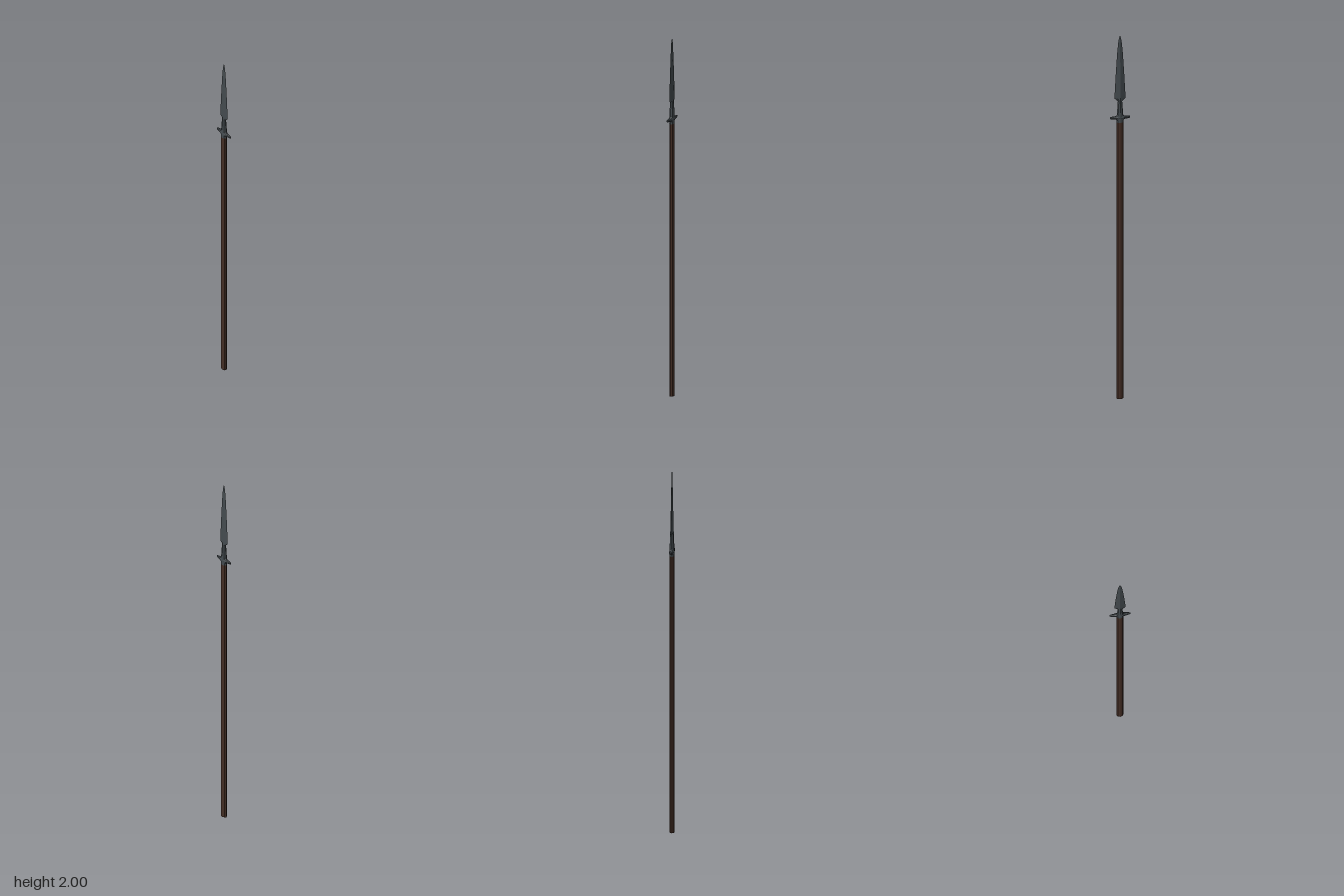
import * as THREE from 'three';

// Flat-shaded loft along y through eight-sided rings [y, halfX, halfZ, k].
// k = 0.5 gives a diamond section, k = 0.71 an ellipse.
function loft(rings) {
  const pos = [], idx = [];
  for (const [y, hx, hz, k] of rings) {
    for (let i = 0; i < 8; i++) {
      const a = (i * Math.PI) / 4;
      const s = i % 2 ? k / Math.SQRT1_2 : 1;
      pos.push(Math.cos(a) * hx * s, y, Math.sin(a) * hz * s);
    }
  }
  for (let j = 0; j < rings.length - 1; j++) {
    for (let i = 0; i < 8; i++) {
      const a = j * 8 + i, b = j * 8 + ((i + 1) % 8);
      idx.push(a, a + 8, b, b, a + 8, b + 8);
    }
  }
  const g = new THREE.BufferGeometry();
  g.setAttribute('position', new THREE.Float32BufferAttribute(pos, 3));
  g.setIndex(idx);
  const flat = g.toNonIndexed();
  flat.computeVertexNormals();
  return flat;
}

export function createModel() {
  const group = new THREE.Group();
  const wood = new THREE.MeshStandardMaterial({ color: 0x442e25, flatShading: true });
  const metal = new THREE.MeshStandardMaterial({ color: 0x444b4f, flatShading: true });
  wood.name = 'darkWood';
  metal.name = 'darkSteel';

  const add = (name, geometry, material) => {
    const mesh = new THREE.Mesh(geometry, material);
    mesh.name = name;
    group.add(mesh);
    return mesh;
  };

  // Oval wooden pole with a closed foot
  add('shaft', loft([
    [0, 0, 0, 0.71], [0, 0.0128, 0.0185, 0.71],
    [1.54, 0.0128, 0.0185, 0.71], [1.54, 0, 0, 0.71],
  ]), wood);

  // Socket narrowing up to the neck
  add('socket', loft([
    [1.52, 0, 0, 0.71], [1.52, 0.0132, 0.0188, 0.71],
    [1.57, 0.0128, 0.0175, 0.71], [1.61, 0.0115, 0.0135, 0.71],
    [1.655, 0.0095, 0.011, 0.68], [1.67, 0, 0, 0.71],
  ]), metal);

  // Long leaf blade with a diamond section
  add('blade', loft([
    [1.635, 0.0095, 0.011, 0.6], [1.652, 0.0092, 0.03, 0.5],
    [1.665, 0.009, 0.03, 0.5], [1.78, 0.0065, 0.0235, 0.5],
    [1.9, 0.004, 0.0155, 0.5], [1.97, 0.0022, 0.0085, 0.5], [2, 0, 0, 0.5],
  ]), metal);

  // Cross lugs, lofted from end to end along z
  const half = [[0.055, 0, 0], [0.055, 0.0035, 0.005], [0.05, 0.006, 0.0065],
    [0.022, 0.0105, 0.0095], [0.015, 0.0118, 0.018]];
  const rings = [
    ...half.map(([z, x, y]) => [-z, x, y, 0.68]),
    [0, 0.0134, 0.022, 0.68],
    ...half.slice().reverse().map(([z, x, y]) => [z, x, y, 0.68]),
  ];
  const lugs = add('crossLugs', loft(rings).rotateX(Math.PI / 2), metal);
  lugs.position.y = 1.546;

  return group;
}
